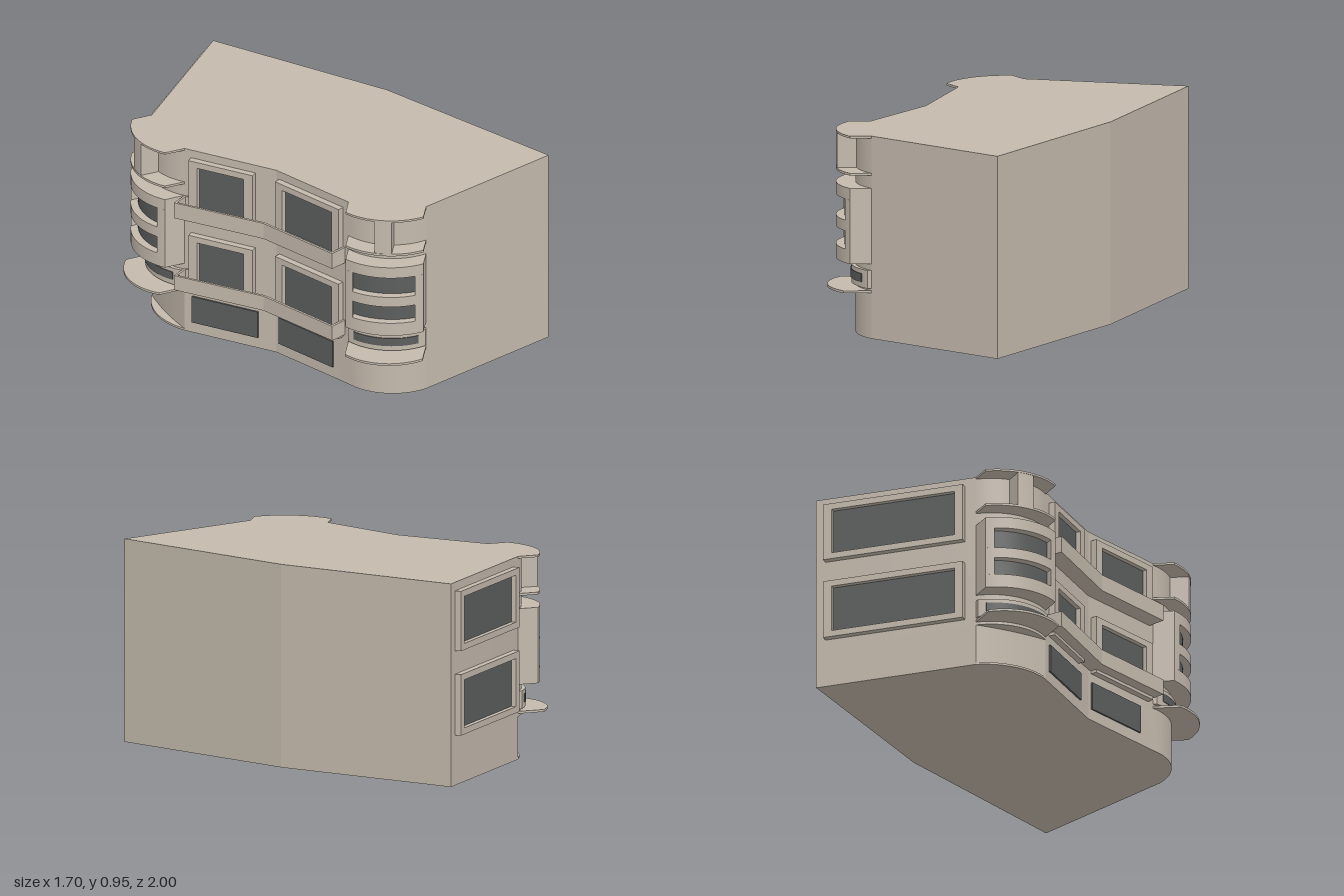
import * as THREE from 'three';
import { toCreasedNormals } from 'three/addons/utils/BufferGeometryUtils.js';

const HALF = 0.18; // half width of each corner tower

// Corner towers: chord centre, outward direction and sideways direction in plan (x, z)
const towers = [
  { name: 'sideTower', c: [-0.645, -0.28], out: [-1, 0], u: [0, 1] },
  { name: 'frontTower', c: [-0.025, 0.785], out: [-0.53, 0.85], u: [0.85, 0.53] },
];

const at = (t, w, d) => [0, 1].map((i) => t.c[i] + t.u[i] * w + t.out[i] * d);

// Plan arc bulging to `apex` at the middle and `edge` at the tower sides
function arc(t, apex, edge, w0 = HALF, w1 = -HALF, n = 20) {
  const s = apex - edge;
  const R = (HALF * HALF + s * s) / (2 * s);
  const pts = [];
  for (let i = 0; i <= n; i++) {
    const w = w0 + ((w1 - w0) * i) / n;
    pts.push(at(t, w, apex - R + Math.sqrt(R * R - w * w)));
  }
  return pts;
}

const sector = (t, apex, edge, w0 = HALF, w1 = -HALF, inner = -0.06) =>
  [...arc(t, apex, edge, w0, w1), at(t, w1, inner), at(t, w0, inner)];

export function createModel() {
  const model = new THREE.Group();
  model.name = 'cornerBuilding';
  const wall = new THREE.MeshStandardMaterial({ color: 0xc4baad });
  wall.name = 'beige stone';
  const glass = new THREE.MeshStandardMaterial({ color: 0x5c5d5d });
  glass.name = 'dark glass';

  function add(parent, name, geometry, material) {
    const mesh = new THREE.Mesh(geometry, material);
    mesh.name = name;
    parent.add(mesh);
    return mesh;
  }

  // Plan outline (x, z) raised from y0 to y1
  function slab(parent, name, pts, y0, y1, material = wall, hole = null) {
    const toV = (p) => new THREE.Vector2(p[0], -p[1]);
    const shape = new THREE.Shape(pts.map(toV));
    if (hole) shape.holes.push(new THREE.Path(hole.map(toV)));
    const g = new THREE.ExtrudeGeometry(shape, { depth: y1 - y0, bevelEnabled: false });
    g.rotateX(-Math.PI / 2).translate(0, y0, 0);
    return add(parent, name, toCreasedNormals(g, 0.13), material);
  }

  // Main body; the side tower is set back at ground level
  const A = [-0.085, -1], B = [0.44, -0.23], C = [0.85, 0.66], F = [-0.35, 0.27];
  const [side, front] = towers;
  const G = at(side, HALF, 0), H = at(side, -HALF, 0), E = at(front, -HALF, 0);
  const frontArc = arc(front, 0.07, 0);
  slab(model, 'groundFloor', [A, B, C, ...frontArc, F, ...arc(side, 0.012, 0)], 0, 0.2);
  slab(model, 'upperFloors', [A, B, C, ...frontArc, F, ...arc(side, 0.07, 0)], 0.2, 0.95);
  slab(model, 'entranceStep', sector(side, 0.055, 0), 0, 0.01);

  // Tower details, stacked upwards
  for (const t of towers) {
    const g = new THREE.Group();
    g.name = t.name;
    model.add(g);
    slab(g, 'canopy', sector(t, 0.2, 0.13), 0.214, 0.225);
    slab(g, 'stripWindowSurround', sector(t, 0.09, 0.02), 0.235, 0.32);
    slab(g, 'stripWindow', sector(t, 0.094, 0.024, 0.15, -0.15), 0.26, 0.3, glass);

    // Bay with two recessed window bands
    for (const [y0, y1] of [[0.35, 0.415], [0.5, 0.55], [0.65, 0.705]])
      slab(g, 'bayBand', sector(t, 0.16, 0.1), y0, y1);
    for (const [y0, y1] of [[0.415, 0.5], [0.55, 0.65]]) {
      slab(g, 'bayWindow', sector(t, 0.122, 0.062, 0.15, -0.15), y0, y1, glass);
      for (const s of [1, -1])
        slab(g, 'bayPost', sector(t, 0.16, 0.1, s > 0 ? HALF : -0.145, s > 0 ? 0.145 : -HALF), y0, y1);
    }

    // Top balcony, central pier and roof overhang
    slab(g, 'balconyFloor', sector(t, 0.16, 0.1), 0.765, 0.776);
    slab(g, 'balconyPier', sector(t, 0.158, 0.098, 0.04, -0.04), 0.776, 0.94);
    slab(g, 'roofOverhang', sector(t, 0.16, 0.1), 0.94, 0.95);
  }

  // Wall-aligned group: local x runs from p to q, local z points outward
  function wallGroup(name, p, q) {
    const g = new THREE.Group();
    g.name = name;
    g.position.set(p[0], 0, p[1]);
    g.rotation.y = Math.atan2(-(q[1] - p[1]), q[0] - p[0]);
    model.add(g);
    return g;
  }

  const rect = (T, x0, x1, y0, y1) => {
    const r = new T();
    r.moveTo(x0, y0).lineTo(x1, y0).lineTo(x1, y1).lineTo(x0, y1).closePath();
    return r;
  };

  function pane(g, x0, x1, y0, y1) {
    const geo = new THREE.BoxGeometry(x1 - x0, y1 - y0, 0.008);
    geo.translate((x0 + x1) / 2, (y0 + y1) / 2, 0.004);
    add(g, 'windowGlass', geo, glass);
  }

  function framedWindow(g, x0, x1, y0, y1, border) {
    const shape = rect(THREE.Shape, x0, x1, y0, y1);
    const inner = [x0 + border, x1 - border, y0 + 0.03, y1 - 0.03];
    shape.holes.push(rect(THREE.Path, ...inner));
    add(g, 'windowFrame', new THREE.ExtrudeGeometry(shape, { depth: 0.031, bevelEnabled: false }), wall);
    pane(g, ...inner);
  }

  // Windows: two storeys on three walls, plus ground floor panes on the facade
  const facades = [
    { name: 'backWallWindows', p: A, q: H, x: [0.045, 0.725], border: 0.04 },
    { name: 'facadeWindowsBack', p: G, q: F, x: [0.035, 0.365], border: 0.045, ground: [0.04, 0.38] },
    { name: 'facadeWindowsFront', p: F, q: E, x: [0.02, 0.42], border: 0.045, ground: [0.02, 0.36] },
  ];
  for (const f of facades) {
    const g = wallGroup(f.name, f.p, f.q);
    for (const [y0, y1] of [[0.235, 0.52], [0.63, 0.91]])
      framedWindow(g, ...f.x, y0, y1, f.border);
    if (f.ground) pane(g, ...f.ground, 0.055, 0.19);
  }

  // Bent facade balconies: thin floor with a parapet around it
  const outer = [[-0.72, -0.055], [-0.43, 0.3], [-0.265, 0.7], [-0.175, 0.665], [-0.34, 0.265], [-0.645, -0.1]];
  const inner = [[-0.704, -0.052], [-0.419, 0.295], [-0.259, 0.685], [-0.19, 0.658], [-0.345, 0.268], [-0.645, -0.088]];
  for (const [y0, y1] of [[0.25, 0.325], [0.625, 0.705]]) {
    slab(model, 'facadeBalconyFloor', outer, y0, y0 + 0.012);
    slab(model, 'facadeBalconyParapet', outer, y0 + 0.012, y1, wall, inner);
  }
  return model;
}
